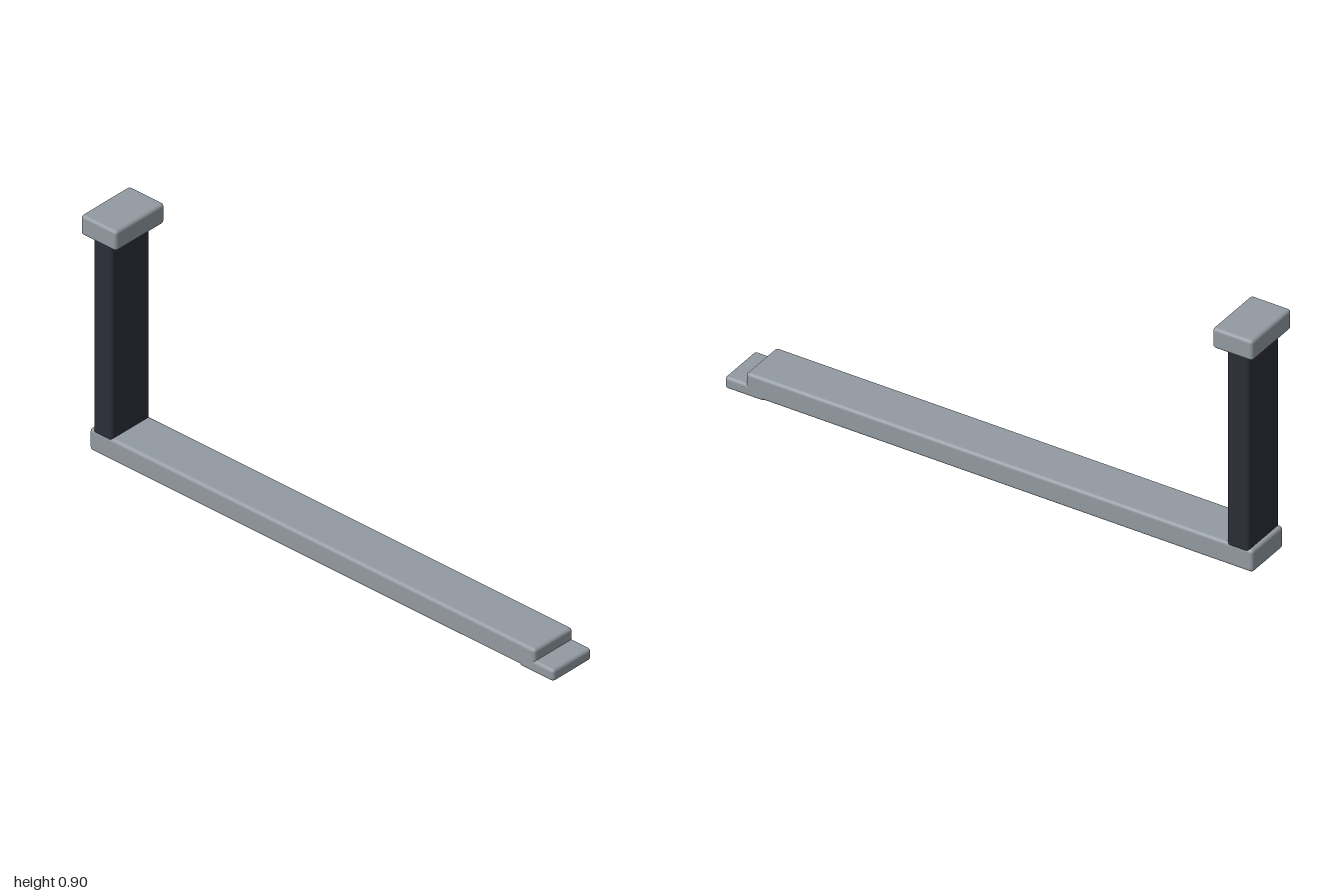
import * as THREE from 'three';
import { RoundedBoxGeometry } from 'three/addons/geometries/RoundedBoxGeometry.js';

const steel = new THREE.MeshStandardMaterial({ color: 0x929aa1 });
const dark = new THREE.MeshStandardMaterial({ color: 0x2b2e37 });

// Rounded block given by its x and y ranges, full depth and edge radius
function block(name, [x0, x1], [y0, y1], depth, radius, material) {
  const geometry = new RoundedBoxGeometry(x1 - x0, y1 - y0, depth, 3, radius);
  const mesh = new THREE.Mesh(geometry, material);
  mesh.position.set((x0 + x1) / 2, (y0 + y1) / 2, 0);
  mesh.name = name;
  return mesh;
}

export function createModel() {
  const group = new THREE.Group();
  group.name = 'liftingFork';
  group.add(
    // long horizontal blade with a thinner, slightly lower tip
    block('blade', [-0.985, 0.92], [0.004, 0.087], 0.18, 0.012, steel),
    block('bladeTip', [0.85, 1], [0, 0.045], 0.18, 0.012, steel),
    // upright rising from the heel, with its hook block on top
    block('shank', [-0.97, -0.888], [0.075, 0.835], 0.18, 0.012, dark),
    block('topHook', [-1, -0.848], [0.822, 0.898], 0.23, 0.012, steel)
  );
  return group;
}
